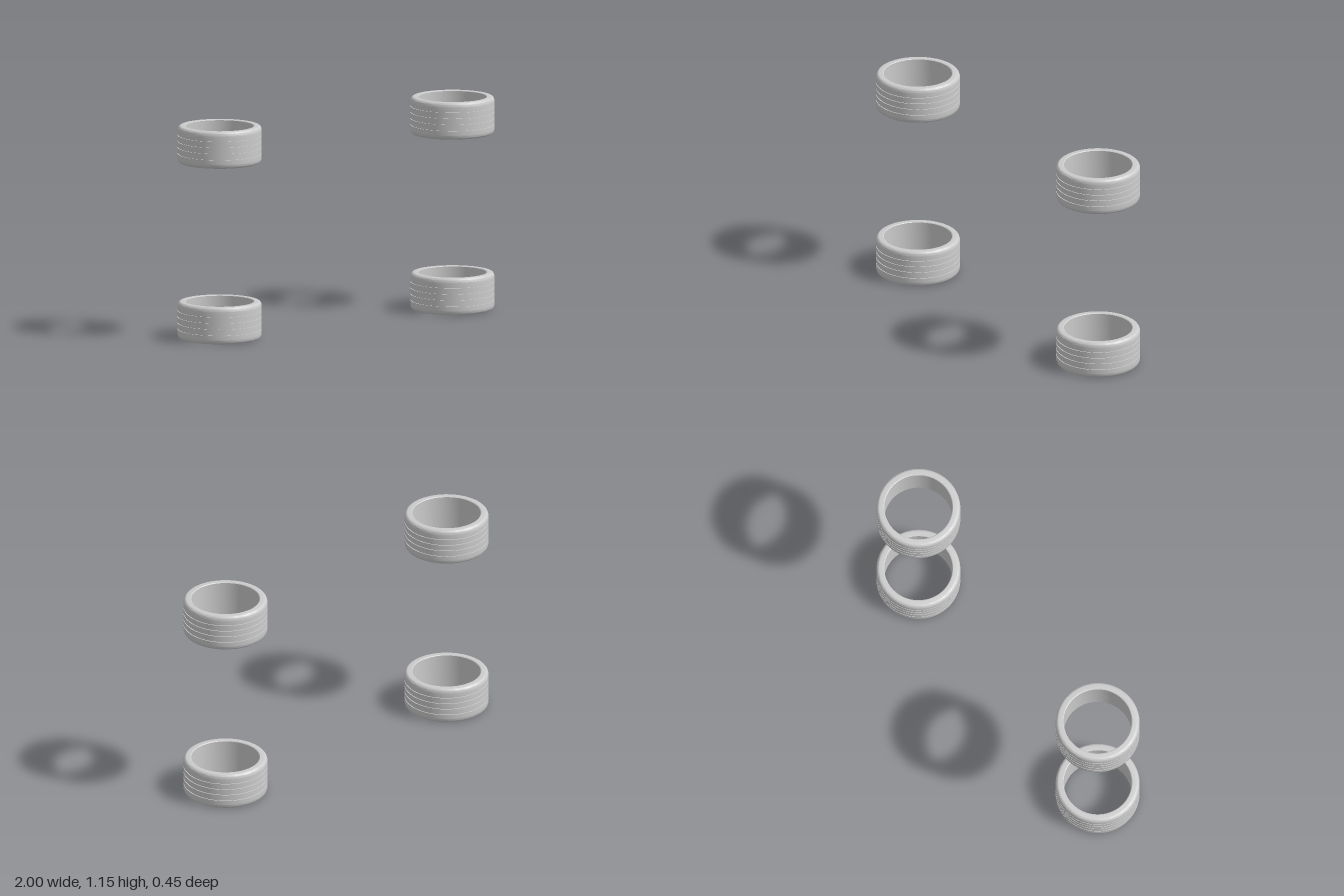
import * as THREE from 'three';
import { toCreasedNormals } from 'three/addons/utils/BufferGeometryUtils.js';

const R = 0.225, INNER = 0.182, WIDTH = 0.2;
const GROOVES = [0.051, 0.085, 0.118, 0.151]; // heights of the tread grooves
const GROOVE_HALF = 0.0028, GROOVE_DEPTH = 0.005;

// Closed cross-section of a tyre (radius, height), turned around the y axis
function tyreGeometry() {
  const pts = [];
  const add = (r, y) => pts.push(new THREE.Vector2(r, y));
  const corner = (y, dir, start) => { // rounded shoulder, wider than deep
    for (let i = 0; i <= 6; i++) {
      const a = start + (i / 6) * Math.PI / 2;
      add(R - 0.017 + 0.017 * Math.cos(a), y + dir * 0.025 * Math.abs(Math.sin(a)));
    }
  };
  add(INNER, 0.003);
  add(INNER + 0.004, 0);
  corner(0.025, -1, -Math.PI / 2);
  for (const y of GROOVES) {
    add(R, y - GROOVE_HALF);
    add(R - GROOVE_DEPTH, y - GROOVE_HALF);
    add(R - GROOVE_DEPTH, y + GROOVE_HALF);
    add(R, y + GROOVE_HALF);
  }
  corner(WIDTH - 0.025, 1, 0);
  add(INNER + 0.004, WIDTH);
  add(INNER, WIDTH - 0.003);
  add(INNER, 0.003);
  return toCreasedNormals(new THREE.LatheGeometry(pts, 96), Math.PI / 5);
}

export function createModel() {
  const model = new THREE.Group();
  model.name = 'tyreSet';
  const geometry = tyreGeometry();
  const material = new THREE.MeshStandardMaterial({ color: 0xcccccc });

  // Two tyres on each side, one low and one high
  for (const [side, x] of [['left', 0.775], ['right', -0.775]]) {
    for (const [level, y] of [['Lower', 0], ['Upper', 0.952]]) {
      const tyre = new THREE.Mesh(geometry, material);
      tyre.name = `${side}${level}Tyre`;
      tyre.position.set(x, y, 0);
      model.add(tyre);
    }
  }
  return model;
}
